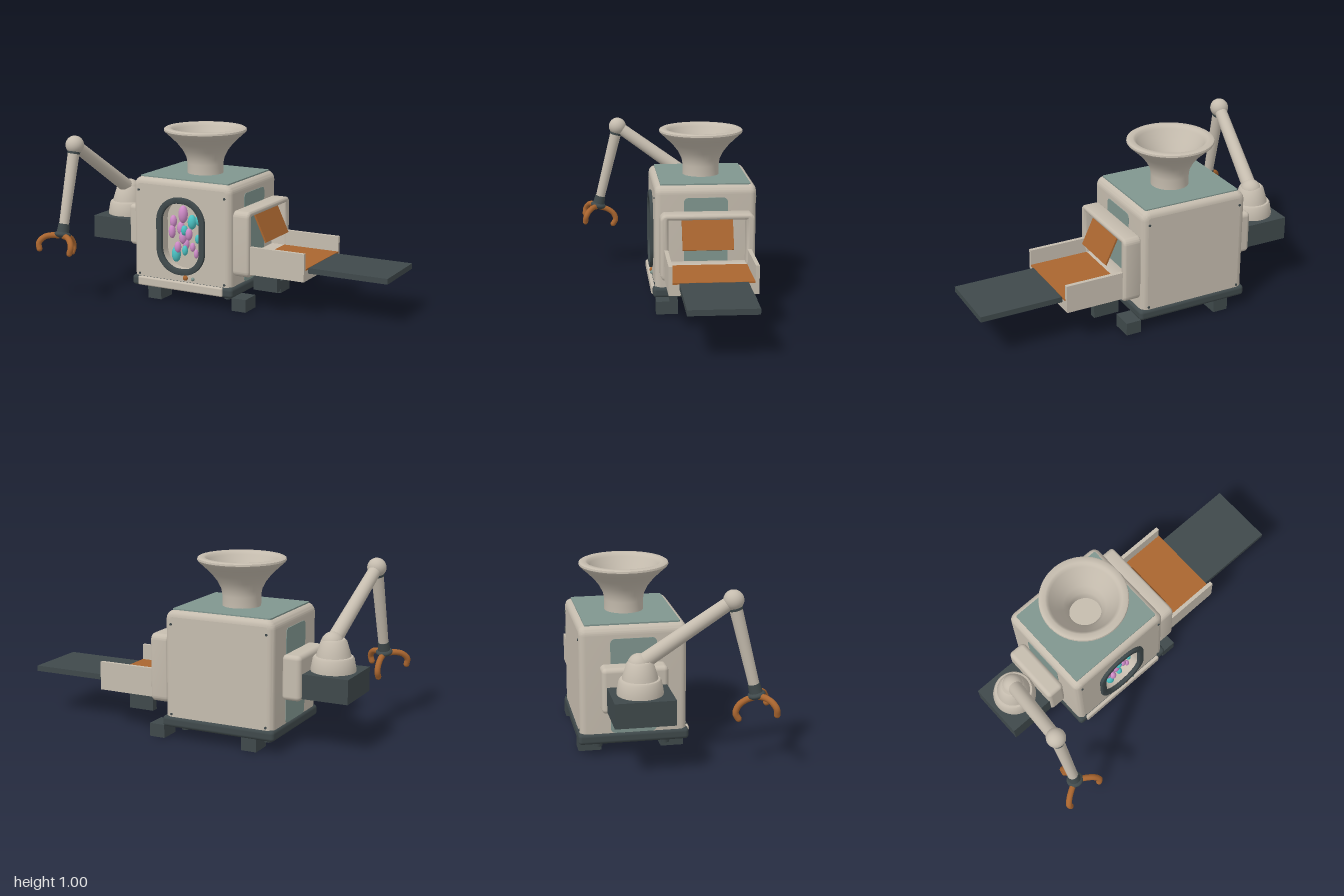
import * as THREE from 'three';
import { toCreasedNormals } from 'three/addons/utils/BufferGeometryUtils.js';
import { RoundedBoxGeometry } from 'three/addons/geometries/RoundedBoxGeometry.js';

const paint = (name, color) => {
  const m = new THREE.MeshStandardMaterial({ color });
  m.name = name;
  return m;
};

// Rounded rectangle centred on the origin, counter-clockwise
function roundRect(w, h, r, Kind = THREE.Shape) {
  const s = new Kind(), x = w / 2 - r, y = h / 2 - r, q = Math.PI / 2;
  s.absarc(x, y, r, 0, q, false);
  s.absarc(-x, y, r, q, 2 * q, false);
  s.absarc(-x, -y, r, 2 * q, 3 * q, false);
  s.absarc(x, -y, r, 3 * q, 4 * q, false);
  return s;
}

// Skin over rounded rectangles [w, h, r, z], stacked along z
function loft(sections) {
  const pos = [], index = [];
  let n = 0;
  for (const [w, h, r, z] of sections) {
    const pts = roundRect(w, h, r).getPoints(8);
    n = pts.length;
    pts.forEach(p => pos.push(p.x, p.y, z));
  }
  for (let k = 0; k < sections.length - 1; k++) {
    for (let i = 0; i < n; i++) {
      const a = k * n + i, b = k * n + (i + 1) % n;
      index.push(a, b, b + n, a, b + n, a + n);
    }
  }
  const g = new THREE.BufferGeometry();
  g.setAttribute('position', new THREE.Float32BufferAttribute(pos, 3));
  g.setIndex(index);
  return toCreasedNormals(g, 0.6);
}

export function createModel() {
  const root = new THREE.Group();
  const beige = paint('warm beige', 0xc5bcae);
  const dark = paint('dark slate', 0x3f494b);
  const teal = paint('muted teal', 0x80968f);
  const orange = paint('burnt orange', 0xa9652f);
  const pink = paint('candy pink', 0xcf8cc8);
  const cyan = paint('candy cyan', 0x4cc3c4);

  const add = (name, geo, mat, x = 0, y = 0, z = 0, parent = root) => {
    const m = new THREE.Mesh(geo, mat);
    m.name = name;
    m.position.set(x, y, z);
    parent.add(m);
    return m;
  };
  // Box given by its limits; r rounds the edges
  const box = (name, mat, x0, x1, y0, y1, z0, z1, r = 0) => add(name,
    r ? new RoundedBoxGeometry(x1 - x0, y1 - y0, z1 - z0, 4, r) : new THREE.BoxGeometry(x1 - x0, y1 - y0, z1 - z0),
    mat, (x0 + x1) / 2, (y0 + y1) / 2, (z0 + z1) / 2);
  const CX = -0.24, CZ = -0.205;

  // Body: rounded casing with a recessed window
  const body = new THREE.Group();
  body.name = 'body';
  body.position.set(CX, 0.3975, 0);
  root.add(body);
  const W = 0.65, H = 0.655, B = 0.035, R = 0.05, back = -0.495, front = 0.085;
  const sections = [];
  for (let i = 0; i <= 12; i++) {
    const t = (i <= 5 ? i : i - 2) / 10 * Math.PI;
    if (i === 6 || i === 7) continue;
    const inset = B * (1 - Math.sin(t));
    const z = i <= 5 ? back + B * (1 - Math.cos(t)) : front - B * (1 + Math.cos(t));
    sections.push([W - 2 * inset, H - 2 * inset, R - inset, z]);
  }
  sections.splice(6, 0, [W, H, R, front - B]);
  add('casing', loft(sections), beige, 0, 0, 0, body);
  const face = roundRect(W - 2 * B, H - 2 * B, R - B);
  add('rearFace', new THREE.ShapeGeometry(face).rotateY(Math.PI), beige, 0, 0, back, body);
  const windowed = roundRect(W - 2 * B, H - 2 * B, R - B);
  windowed.holes.push(roundRect(0.27, 0.41, 0.12, THREE.Path));
  add('frontFace', new THREE.ShapeGeometry(windowed, 8), beige, 0, 0, front, body);
  add('windowRecess', loft([[0.27, 0.41, 0.12, front], [0.27, 0.41, 0.12, 0.01]]), beige, 0, 0, 0, body);
  add('windowBack', new THREE.ShapeGeometry(roundRect(0.27, 0.41, 0.12), 8), beige, 0, 0, 0.01, body);

  // Window ring
  const ring = roundRect(0.31, 0.45, 0.145);
  ring.holes.push(roundRect(0.26, 0.40, 0.12, THREE.Path));
  const ringGeo = new THREE.ExtrudeGeometry(ring, { depth: 0.015, bevelSize: 0.005, bevelThickness: 0.005, bevelSegments: 2, curveSegments: 10 });
  add('windowRing', toCreasedNormals(ringGeo, 0.6), dark, CX, 0.4, 0.083);

  // Capsules in the window: x, y, width radius, height radius
  const capsules = [
    [pink, [[-0.255, 0.52, 0.028, 0.052], [-0.315, 0.475, 0.021, 0.036], [-0.318, 0.415, 0.021, 0.04], [-0.27, 0.435, 0.023, 0.04],
      [-0.25, 0.385, 0.024, 0.04], [-0.28, 0.325, 0.02, 0.034], [-0.235, 0.345, 0.02, 0.032], [-0.163, 0.295, 0.014, 0.027],
      [-0.205, 0.41, 0.021, 0.036], [-0.192, 0.33, 0.016, 0.027]]],
    [cyan, [[-0.195, 0.48, 0.026, 0.043], [-0.297, 0.28, 0.027, 0.048], [-0.235, 0.43, 0.02, 0.03],
      [-0.152, 0.495, 0.018, 0.032], [-0.152, 0.385, 0.016, 0.027], [-0.232, 0.31, 0.017, 0.03]]],
  ];
  const egg = new THREE.SphereGeometry(1, 18, 12);
  for (const [mat, list] of capsules) {
    list.forEach(([x, y, rx, ry], i) => {
      add('capsule', egg, mat, x, y, 0.035 + (i % 3) * 0.01).scale.set(rx, ry, rx);
    });
  }

  // Base, front strip, buttons, bolts
  box('base', dark, -0.575, 0.1, 0.07, 0.132, -0.505, 0.097, 0.02);
  box('frontStrip', beige, -0.53, 0.04, 0.076, 0.13, 0.08, 0.106, 0.01);
  const knob = new THREE.SphereGeometry(1, 16, 10);
  add('orangeButton', knob, orange, -0.212, 0.155, 0.088).scale.set(0.016, 0.016, 0.012);
  add('tealButton', knob, teal, -0.162, 0.153, 0.088).scale.set(0.011, 0.011, 0.013);
  for (const x of [-0.525, 0.045]) for (const y of [0.145, 0.65]) for (const z of [0.085, -0.495]) {
    add('bolt', new THREE.CylinderGeometry(0.007, 0.007, 0.01, 10).rotateX(Math.PI / 2), dark, x, y, z);
  }

  // Feet and small levelling pads
  for (const [z0, z1, zp] of [[-0.04, 0.085, -0.02], [-0.495, -0.37, -0.39]]) {
    for (const x of [-0.47, 0.092]) box('foot', dark, x, x + 0.09, 0, 0.075, z0, z1);
    for (const x of [-0.493, 0.013]) add('levellingPad', new THREE.CylinderGeometry(0.03, 0.022, 0.04, 16), dark, x, 0.055, zp);
  }

  // Teal panels on the top and both sides
  const panel = (w, h, r) => new THREE.ExtrudeGeometry(roundRect(w, h, r), { depth: 0.008, bevelEnabled: false, curveSegments: 6 });
  add('topPanel', panel(0.585, 0.515, 0.008).rotateX(-Math.PI / 2), teal, CX, 0.723, CZ);
  for (const x of [0.08, -0.568]) add('sidePanel', panel(0.25, 0.525, 0.025).rotateY(Math.PI / 2), teal, x, 0.393, CZ);

  // Hopper: hollow flared bowl
  const hopper = [[0.107, 0.725], [0.107, 0.79], [0.113, 0.825], [0.135, 0.868], [0.168, 0.91], [0.21, 0.95], [0.24, 0.977],
    [0.245, 0.985], [0.243, 0.995], [0.235, 1], [0.208, 1], [0.198, 0.994], [0.188, 0.98], [0.155, 0.925], [0.118, 0.875],
    [0.095, 0.83], [0.09, 0.8], [0.09, 0.765], [0, 0.765]].map(p => new THREE.Vector2(...p));
  add('hopper', toCreasedNormals(new THREE.LatheGeometry(hopper, 48), 0.6), beige, CX, 0, CZ);

  // Outlet frame on the model's left
  const frame = roundRect(0.505, 0.355, 0.02);
  const gap = roundRect(0.475, 0.29, 0.012, THREE.Path).getPoints(4).map(p => p.add(new THREE.Vector2(0, 0.03)));
  frame.holes.push(new THREE.Path(gap));
  const frameGeo = new THREE.ExtrudeGeometry(frame, { depth: 0.075, bevelSize: 0.015, bevelThickness: 0.015, bevelSegments: 4, curveSegments: 5 });
  add('outletFrame', toCreasedNormals(frameGeo.rotateY(Math.PI / 2), 0.6), beige, 0.097, 0.3875, -0.207);

  // Tray with belt, flap, supports and conveyor
  box('trayFloor', beige, 0.18, 0.525, 0.215, 0.282, -0.455, 0.04);
  box('trayWallFront', beige, 0.18, 0.525, 0.28, 0.377, 0.018, 0.04);
  box('trayWallRear', beige, 0.18, 0.525, 0.28, 0.377, -0.455, -0.433);
  box('belt', orange, 0.1, 0.527, 0.278, 0.287, -0.433, 0.018);
  box('conveyor', dark, 0.52, 1, 0.253, 0.285, -0.395, -0.018);
  for (const z of [-0.022, -0.43]) box('traySupport', dark, 0.2, 0.35, 0.125, 0.217, z, z + 0.042);
  const flap = box('flap', orange, -0.005, 0.005, 0, 0.18, -0.35, -0.06);
  flap.position.set(0.198, 0.469, CZ);
  flap.rotation.z = Math.atan2(0.075, 0.16);

  // Arm mount on the model's right
  box('armMount', beige, -0.675, -0.565, 0.275, 0.525, -0.39, -0.035, 0.025);
  box('armPlatform', dark, -0.935, -0.67, 0.29, 0.425, -0.365, -0.045);
  const pedestal = [[0.122, 0.42], [0.122, 0.44], [0.112, 0.495], [0.105, 0.505], [0.094, 0.507], [0.09, 0.525], [0.07, 0.59],
    [0.06, 0.6], [0, 0.6]].map(p => new THREE.Vector2(...p));
  add('armPedestal', toCreasedNormals(new THREE.LatheGeometry(pedestal, 32), 0.6), beige, -0.79, 0, -0.21);

  // Jointed arm
  const shoulder = new THREE.Vector3(-0.782, 0.578, -0.215);
  const elbow = new THREE.Vector3(-0.847, 0.915, 0.263);
  const wrist = new THREE.Vector3(-0.86, 0.405, 0.39);
  const up = new THREE.Vector3(0, 1, 0);
  const limb = (name, mat, a, b, ra, rb) => {
    const d = b.clone().sub(a), mid = a.clone().add(b).multiplyScalar(0.5);
    const m = add(name, new THREE.CylinderGeometry(rb, ra, d.length(), 24), mat, mid.x, mid.y, mid.z);
    m.quaternion.setFromUnitVectors(up, d.normalize());
  };
  const along = (a, b, t) => a.clone().lerp(b, t);
  add('shoulderJoint', new THREE.SphereGeometry(0.06, 24, 16), beige, ...shoulder.toArray());
  add('elbowJoint', new THREE.SphereGeometry(0.054, 24, 16), beige, ...elbow.toArray());
  limb('upperArm', beige, shoulder, elbow, 0.042, 0.036);
  limb('forearm', beige, elbow, wrist, 0.035, 0.028);
  limb('elbowCollar', dark, along(elbow, wrist, 0.075), along(elbow, wrist, 0.1), 0.038, 0.037);
  limb('wristCuff', dark, along(elbow, wrist, 0.88), along(elbow, wrist, 0.98), 0.032, 0.036);

  // Gripper: palm with three hooked fingers
  const gripper = new THREE.Group();
  gripper.name = 'gripper';
  gripper.position.copy(wrist);
  gripper.quaternion.setFromUnitVectors(up, elbow.clone().sub(wrist).normalize());
  root.add(gripper);
  add('palm', new THREE.SphereGeometry(1, 24, 14), dark, 0, 0, 0, gripper).scale.set(0.048, 0.022, 0.048);
  const path = new THREE.CatmullRomCurve3([[0.015, -0.01], [0.06, -0.012], [0.105, -0.03], [0.13, -0.066], [0.122, -0.1]]
    .map(([r, y]) => new THREE.Vector3(r, y, 0)));
  for (let i = 0; i < 3; i++) {
    const finger = new THREE.Group();
    finger.name = 'finger';
    finger.rotation.y = Math.PI / 2 + i * Math.PI * 2 / 3;
    gripper.add(finger);
    add('fingerHook', new THREE.TubeGeometry(path, 16, 0.017, 12), orange, 0, 0, 0, finger);
    add('fingerTip', new THREE.SphereGeometry(0.017, 12, 8), orange, 0.122, -0.1, 0, finger);
  }
  return root;
}
